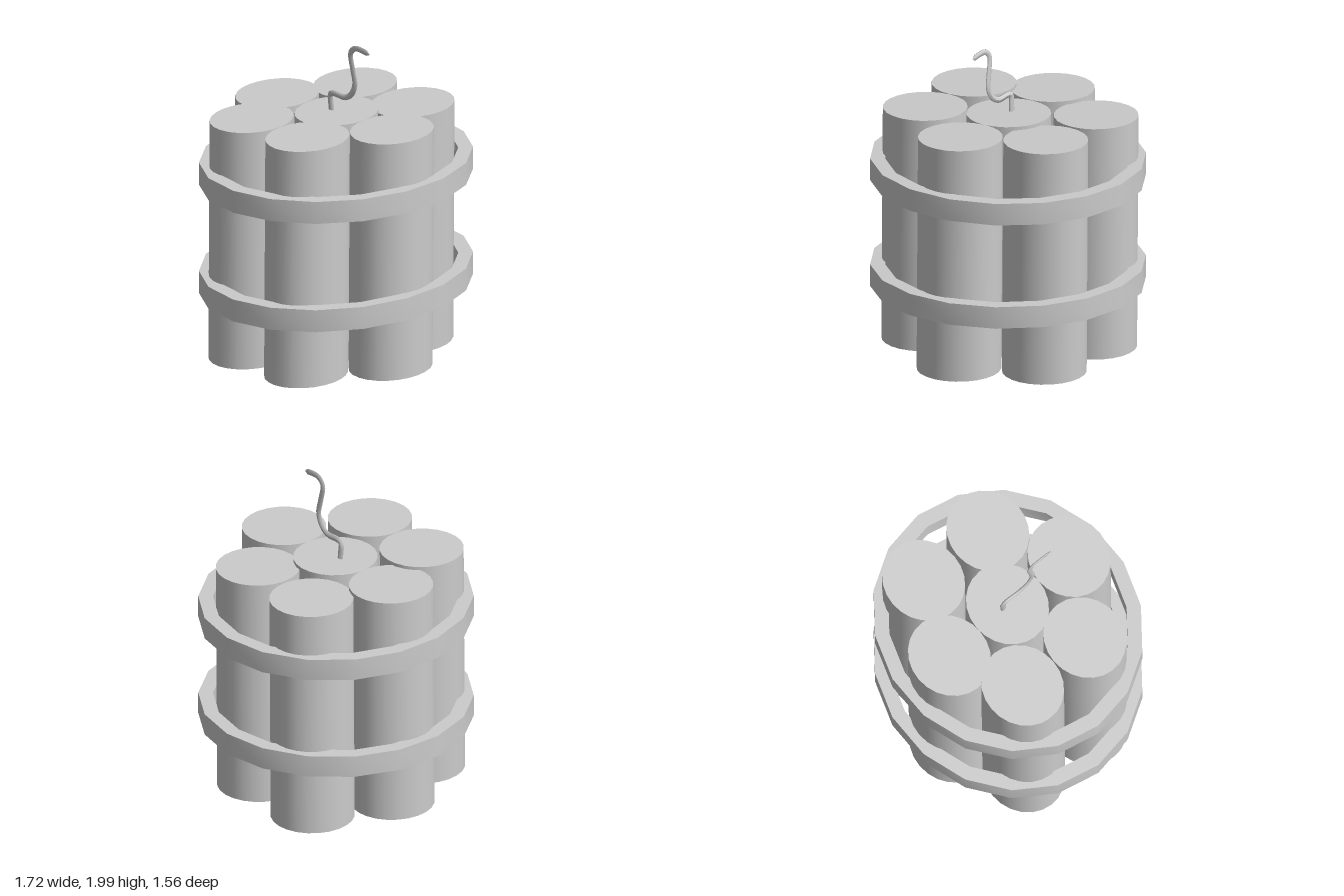
import * as THREE from 'three';
import { toCreasedNormals } from 'three/addons/utils/BufferGeometryUtils.js';

const material = new THREE.MeshStandardMaterial({ color: 0xcccccc });

function addMesh(group, name, geometry, x, y, z, mat = material) {
  const mesh = new THREE.Mesh(geometry, mat);
  mesh.name = name;
  mesh.position.set(x, y, z);
  group.add(mesh);
}

// slant: rise in y per unit of x; lean: drift in x per unit of y
const shear = (slant, lean) => new THREE.Matrix4().makeShear(slant, 0, lean, 0, 0, 0);

// Oval stick with slightly slanted ends
function stickGeometry() {
  return new THREE.CylinderGeometry(1, 1, 1.505, 24)
    .scale(0.265, 1, 0.241)
    .applyMatrix4(shear(0.05, 0.007));
}

// Flat oval strap with a rectangular section
function strapGeometry(slant) {
  const inner = 0.892, h = 0.07;
  const profile = [[1, -h], [1, h], [inner, h], [inner, -h], [1, -h]]
    .map(([r, y]) => new THREE.Vector2(r, y));
  const lathe = new THREE.LatheGeometry(profile, 18, Math.PI / 2)
    .scale(0.86, 1, 0.79)
    .applyMatrix4(shear(slant, 0));
  return toCreasedNormals(lathe, 0.6);
}

// Thin bent fuse, flattened sideways and tapering to a point
function fuseGeometry() {
  const points = [
    [1.50, -0.038], [1.56, -0.04], [1.625, -0.04], [1.637, -0.015], [1.635, 0.09],
    [1.67, 0.145], [1.74, 0.178], [1.83, 0.165], [1.935, 0.152], [1.975, 0.19],
    [1.978, 0.25], [1.967, 0.315],
  ].map(([y, z]) => new THREE.Vector3(0, y, z));
  const curve = new THREE.CatmullRomCurve3(points, false, 'centripetal');
  const rings = 36, sides = 6;
  const geometry = new THREE.TubeGeometry(curve, rings, 0.02, sides);
  const pos = geometry.attributes.position;
  const p = new THREE.Vector3();
  for (let i = 0; i < pos.count; i++) {
    const t = Math.floor(i / (sides + 1)) / rings;
    const taper = t === 1 ? 0.25 : 1;
    p.fromBufferAttribute(pos, i);
    p.lerp(curve.getPointAt(t), 1 - taper);
    const flat = 0.65 - 0.35 * t;
    pos.setXYZ(i, p.x * flat - 0.055 * (p.y - 1.5), p.y, p.z);
  }
  geometry.computeVertexNormals();
  return geometry;
}

export function createModel() {
  const model = new THREE.Group();
  model.name = 'stickBundle';

  // One central stick ringed by six others
  const centres = [
    [0, 0], [0, 0.48], [-0.035, -0.48],
    [-0.462, -0.26], [-0.462, 0.225], [0.438, -0.295], [0.438, 0.205],
  ];
  const stick = stickGeometry();
  centres.forEach(([x, z], i) => addMesh(model, i ? `outerStick${i}` : 'centreStick', stick, x, 0.772, z));

  // Two straps, the lower one slanting more
  addMesh(model, 'upperStrap', strapGeometry(0.03), 0, 1.176, 0);
  addMesh(model, 'lowerStrap', strapGeometry(0.046), 0, 0.496, 0);

  // Fuse rising from the central stick
  const fuseMaterial = material.clone();
  fuseMaterial.side = THREE.DoubleSide;
  addMesh(model, 'fuse', fuseGeometry(), 0, 0, 0, fuseMaterial);

  return model;
}
